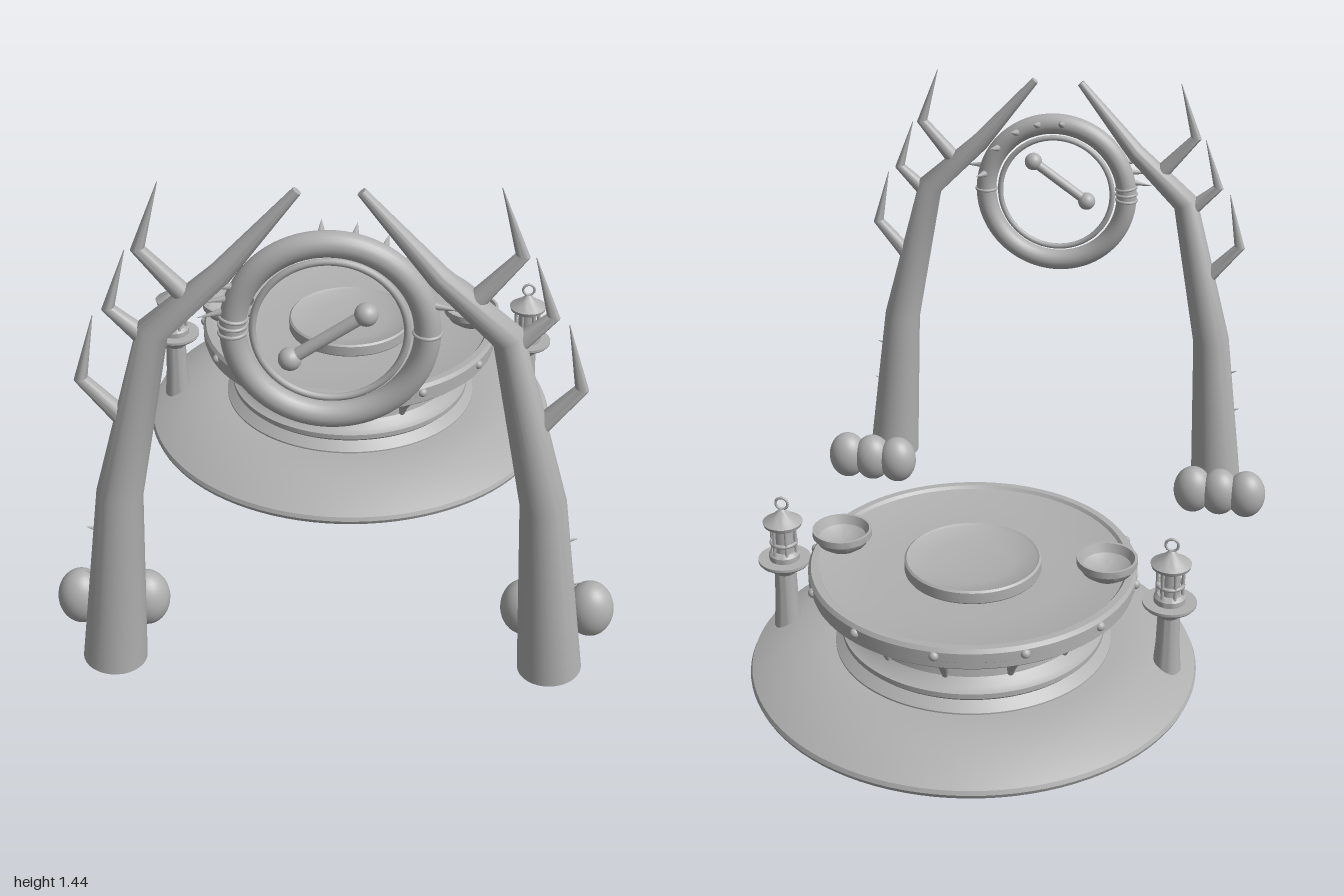
import * as THREE from 'three';
import { toCreasedNormals } from 'three/addons/utils/BufferGeometryUtils.js';

const stone = new THREE.MeshStandardMaterial({ color: 0xb0b0b0 });
stone.name = 'grey stone';

function add(parent, name, geometry, x = 0, y = 0, z = 0) {
  const mesh = new THREE.Mesh(geometry, stone);
  mesh.name = name;
  mesh.position.set(x, y, z);
  parent.add(mesh);
  return mesh;
}

function group(parent, name, x = 0, y = 0, z = 0) {
  const g = new THREE.Group();
  g.name = name;
  g.position.set(x, y, z);
  parent.add(g);
  return g;
}

// Turned shape from a profile of [radius, height] pairs
const lathe = (profile, segments = 64) => toCreasedNormals(
  new THREE.LatheGeometry(profile.map(([r, y]) => new THREE.Vector2(r, y)), segments), 0.5);

// Closed tapering limb along [x, y, radius] points in the XY plane
function limb(points, sides = 20) {
  const pos = [], index = [];
  const pts = points.map(p => new THREE.Vector2(p[0], p[1]));
  const rings = [];
  pts.forEach((p, i) => {
    const t = new THREE.Vector2();
    if (i > 0) t.add(p.clone().sub(pts[i - 1]).normalize());
    if (i < pts.length - 1) t.add(pts[i + 1].clone().sub(p).normalize());
    t.normalize();
    rings.push({ p, t, r: points[i][2] });
  });
  rings.unshift({ ...rings[0], r: 0 });
  rings.push({ ...rings[rings.length - 1], r: 0 });
  for (const { p, t, r } of rings) {
    for (let j = 0; j < sides; j++) {
      const a = j / sides * Math.PI * 2, c = r * Math.cos(a);
      pos.push(p.x - t.y * c, p.y + t.x * c, r * Math.sin(a));
    }
  }
  for (let i = 0; i < rings.length - 1; i++) {
    for (let j = 0; j < sides; j++) {
      const k = (j + 1) % sides;
      const a = i * sides + j, b = i * sides + k, d = a + sides, c = b + sides;
      index.push(a, b, d, b, c, d);
    }
  }
  const g = new THREE.BufferGeometry();
  g.setAttribute('position', new THREE.Float32BufferAttribute(pos, 3));
  g.setIndex(index);
  return toCreasedNormals(g, 0.6);
}

// Cone standing on a point and aimed along a direction
function thorn(parent, origin, direction, length, radius) {
  const cone = new THREE.ConeGeometry(radius, length, 10).translate(0, length / 2, 0);
  const mesh = add(parent, 'thorn', cone, ...origin);
  mesh.quaternion.setFromUnitVectors(new THREE.Vector3(0, 1, 0),
    new THREE.Vector3(...direction).normalize());
}

function buildDais(model) {
  const dais = group(model, 'dais', 0, 0, -0.35);
  add(dais, 'base', lathe([[0, 0.01], [0.61, 0.01], [0.645, 0.028], [0.65, 0.04], [0.645, 0.052],
    [0.525, 0.113], [0.42, 0.117], [0, 0.117]], 96));
  add(dais, 'drum', lathe([[0.4, 0.11], [0.4, 0.122], [0.37, 0.145], [0.38, 0.155], [0.38, 0.17],
    [0.36, 0.178], [0.34, 0.2], [0.335, 0.235], [0.35, 0.265], [0.385, 0.297], [0.455, 0.303],
    [0.463, 0.31], [0.463, 0.328], [0.47, 0.333], [0.47, 0.36], [0.462, 0.371], [0.442, 0.371],
    [0.435, 0.362], [0.36, 0.348], [0.28, 0.342], [0, 0.34]], 96));
  add(dais, 'centreDish', lathe([[0.19, 0.335], [0.196, 0.345], [0.196, 0.376], [0.19, 0.381],
    [0.182, 0.376], [0.12, 0.366], [0, 0.362]]));
  // Studs and brackets around the rim
  for (let i = 0; i < 12; i++) {
    const spoke = group(dais, 'rimSpoke');
    spoke.rotation.y = i * Math.PI / 6;
    add(spoke, 'stud', new THREE.SphereGeometry(0.014, 16, 12), 0.468, 0.347, 0);
    add(spoke, 'bracket', limb([[0.425, 0.305, 0.018], [0.38, 0.27, 0.017],
      [0.355, 0.235, 0.014], [0.345, 0.205, 0.009]], 12));
  }
  for (const s of [-1, 1]) {
    add(dais, 'bowl', lathe([[0, 0.355], [0.045, 0.365], [0.07, 0.383], [0.08, 0.402], [0.086, 0.405],
      [0.086, 0.425], [0.078, 0.425], [0.068, 0.4], [0.045, 0.385], [0, 0.378]], 40), s * 0.387, 0, 0);
    buildLantern(dais, s * 0.567);
  }
}

function buildLantern(parent, x) {
  const lantern = group(parent, 'lantern', x);
  const foot = add(lantern, 'foot', new THREE.SphereGeometry(0.075, 24, 12), 0, 0.018, 0);
  foot.scale.y = 0.22;
  add(lantern, 'post', lathe([[0, 0.08], [0.041, 0.08], [0.034, 0.17], [0.032, 0.26], [0.045, 0.28],
    [0.072, 0.292], [0.077, 0.298], [0.077, 0.306], [0, 0.306]], 32));
  add(lantern, 'lampBase', lathe([[0.045, 0.306], [0.045, 0.322], [0.036, 0.332], [0, 0.332]], 32));
  add(lantern, 'lamp', new THREE.CylinderGeometry(0.028, 0.028, 0.1, 24), 0, 0.375, 0);
  for (let i = 0; i < 6; i++) {
    const a = i * Math.PI / 3;
    add(lantern, 'cageBar', new THREE.CylinderGeometry(0.005, 0.005, 0.095, 8),
      0.036 * Math.cos(a), 0.375, 0.036 * Math.sin(a));
  }
  for (const y of [0.36, 0.412]) {
    add(lantern, 'cageRing', new THREE.TorusGeometry(0.036, 0.006, 8, 32).rotateX(Math.PI / 2), 0, y, 0);
  }
  add(lantern, 'roof', lathe([[0, 0.418], [0.055, 0.418], [0.058, 0.428], [0.035, 0.443],
    [0.015, 0.46], [0.008, 0.468], [0, 0.468]], 32));
  add(lantern, 'handle', new THREE.TorusGeometry(0.018, 0.004, 8, 28), 0, 0.486, 0);
}

function buildTree(model, s) {
  const tree = group(model, s > 0 ? 'leftTree' : 'rightTree', 0, 0, 0.915);
  const side = pts => pts.map(([x, y, r]) => [s * x, y, r]);
  add(tree, 'trunk', limb(side([[0.58, 0.035, 0.085], [0.538, 0.56, 0.06], [0.43, 1.04, 0.041],
    [0.26, 1.2, 0.03], [0.075, 1.42, 0.012]]), 32));
  const branches = [
    [[0.34, 1.13, 0.026], [0.455, 1.262, 0.018], [0.4, 1.437, 0.001]],
    [[0.44, 1.01, 0.026], [0.535, 1.1, 0.017], [0.487, 1.257, 0.001]],
    [[0.505, 0.775, 0.026], [0.615, 0.9, 0.018], [0.575, 1.077, 0.001]],
  ];
  for (const branch of branches) add(tree, 'branch', limb(side(branch), 14));
  for (const [x, y] of [[0.61, 0.3], [0.595, 0.44]]) {
    thorn(tree, [s * x, y, 0], [s, 0.3, 0], 0.04, 0.008);
  }
  // Bushes behind the trunk
  for (const x of [0.7, 0.61, 0.52]) {
    const bush = add(model, 'bush', new THREE.SphereGeometry(1, 32, 20), s * x, 0.083, 0.73);
    bush.scale.set(0.065, 0.082, 0.062);
  }
}

function buildRing(model) {
  const ring = group(model, 'hangingRing', 0, 1.045, 0.91);
  add(ring, 'outerRing', new THREE.TorusGeometry(0.236, 0.033, 20, 96));
  add(ring, 'innerRing', new THREE.TorusGeometry(0.188, 0.009, 12, 96));
  // Bindings where the ring meets the branches
  for (const deg of [0, 172, 177, 182]) {
    const a = deg * Math.PI / 180;
    const band = add(ring, 'binding', new THREE.TorusGeometry(0.033, 0.005, 8, 24).rotateX(Math.PI / 2),
      0.236 * Math.cos(a), 0.236 * Math.sin(a), 0);
    band.rotation.z = a;
  }
  // Thorns on the back of the upper arc
  for (const deg of [14, 38, 58, 76, 95]) {
    const a = deg * Math.PI / 180, c = Math.cos(a), n = Math.sin(a);
    thorn(ring, [0.24 * c, 0.24 * n, -0.018], [0.35 * c, 0.35 * n, -1], 0.068, 0.014);
  }
  for (const deg of [152, 160, 168, 18]) {
    const a = deg * Math.PI / 180, c = Math.cos(a), n = Math.sin(a);
    thorn(ring, [0.255 * c, 0.255 * n, 0.005], [c, n - 0.4, 0.2], 0.075, 0.011);
  }
  // Slanted bar with a ball at each end
  const bar = group(ring, 'slantedBar', -0.002, 0.019, 0.062);
  bar.rotation.z = Math.atan2(0.127, 0.184);
  add(bar, 'rod', new THREE.CylinderGeometry(0.016, 0.016, 0.22, 20).rotateZ(Math.PI / 2));
  for (const s of [-1, 1]) add(bar, 'knob', new THREE.SphereGeometry(0.029, 24, 16), s * 0.111, 0, 0);
}

export function createModel() {
  const model = new THREE.Group();
  model.name = 'gateAndDais';
  buildDais(model);
  for (const s of [-1, 1]) buildTree(model, s);
  buildRing(model);
  return model;
}
